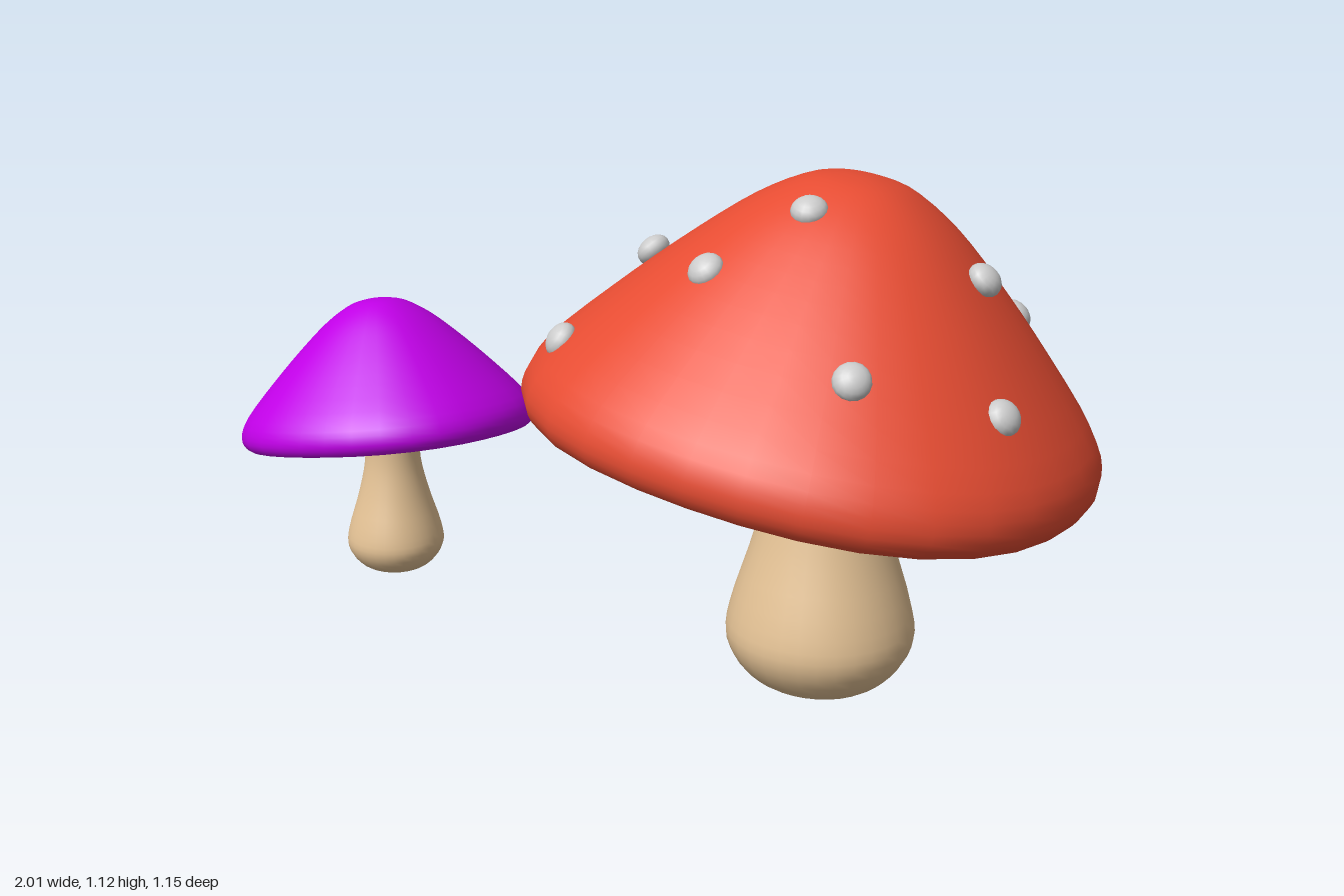
import * as THREE from 'three';
import { mergeVertices } from 'three/addons/utils/BufferGeometryUtils.js';

const UP = new THREE.Vector3(0, 1, 0);
const mat = (color) => new THREE.MeshStandardMaterial({ color });

// Smooth lathe through a few [radius, height] points, slightly squared in plan
function softLathe(points, squareness) {
  const curve = new THREE.SplineCurve(points.map(([r, h]) => new THREE.Vector2(r, h)));
  const profile = curve.getPoints(points.length * 3);
  profile.forEach((p) => { p.x = Math.max(0, p.x); });
  let geo = new THREE.LatheGeometry(profile, 32);
  const pos = geo.attributes.position;
  for (let i = 0; i < pos.count; i++) {
    const x = pos.getX(i), z = pos.getZ(i);
    const k = 1 + squareness * (1 - Math.cos(4 * Math.atan2(z, x)));
    pos.setX(i, x * k);
    pos.setZ(i, z * k);
  }
  // weld the seam so the shading is continuous
  geo.deleteAttribute('uv');
  geo.deleteAttribute('normal');
  geo = mergeVertices(geo, 1e-4);
  geo.computeVertexNormals();
  return geo;
}

function addMesh(parent, name, geo, material) {
  const mesh = new THREE.Mesh(geo, material);
  mesh.name = name;
  parent.add(mesh);
  return mesh;
}

// Cap from flat lip round the rim to the apex; gills from apex down to the lip
const CAP = [[0.47, -0.014], [0.52, -0.03], [0.558, -0.018], [0.576, 0.03], [0.545, 0.108],
  [0.42, 0.252], [0.3, 0.376], [0.2, 0.467], [0.11, 0.525], [0.045, 0.543], [0, 0.546]];
const GILLS = [[0, 0.14], [0.2, 0.126], [0.34, 0.084], [0.43, 0.03], [0.47, -0.014]];
const STEM = [[0, 0], [0.095, 0.008], [0.158, 0.042], [0.198, 0.11], [0.19, 0.19],
  [0.145, 0.34], [0.115, 0.48], [0.11, 0.62], [0.11, 0.74], [0, 0.8]];

function mushroom(name, { stemScale, capScale, stem, cap, axis, color }) {
  const group = new THREE.Group();
  group.name = name;

  const stemMesh = addMesh(group, 'stem', softLathe(STEM, 0.005), mat(0xe4c295));
  stemMesh.position.set(...stem);
  stemMesh.scale.setScalar(stemScale);

  // tilted head
  const head = new THREE.Group();
  head.name = 'cap';
  head.position.set(...cap);
  head.scale.setScalar(capScale);
  head.quaternion.setFromUnitVectors(UP, new THREE.Vector3(...axis).normalize());
  addMesh(head, 'capTop', softLathe(CAP, 0.024), mat(color));
  addMesh(head, 'gills', softLathe(GILLS, 0.024), mat(0x9c8d6a));
  group.add(head);
  return group;
}

export function createModel() {
  const model = new THREE.Group();
  model.name = 'mushrooms';

  const big = mushroom('largeMushroom', {
    stemScale: 1, capScale: 1, stem: [0.44, 0, -0.055], cap: [0.43, 0.578, 0.003],
    axis: [0.14, 1, -0.09], color: 0xe64c32,
  });
  const small = mushroom('smallMushroom', {
    stemScale: 0.57, capScale: 0.572, stem: [-0.68, 0.035, -0.065], cap: [-0.675, 0.388, -0.053],
    axis: [-0.17, 1, -0.13], color: 0xc000e6,
  });
  model.add(big, small);

  // Flattened warts lying on the large cap
  const warts = new THREE.Group();
  warts.name = 'warts';
  const wartGeo = new THREE.SphereGeometry(0.038, 16, 10);
  const wartMat = mat(0xcccccc);
  [[0.5, 0.755, -0.487], [0.205, 0.89, -0.305], [0.475, 0.945, -0.308], [0.75, 0.805, -0.287],
    [0.07, 0.925, 0.015], [0.768, 0.938, -0.033], [0.47, 1.072, 0.13], [0.32, 0.967, 0.265],
    [0.03, 0.802, 0.32], [0.888, 0.738, 0.172], [0.67, 0.828, 0.37],
  ].forEach(([x, y, z]) => {
    const wart = addMesh(warts, 'wart', wartGeo, wartMat);
    wart.position.set(x, y, z);
    const normal = new THREE.Vector3(x - 0.43, 0.36, z).normalize();
    wart.quaternion.setFromUnitVectors(UP, normal);
    wart.scale.set(0.97, 0.72, 1);
  });
  big.add(warts);

  return model;
}
